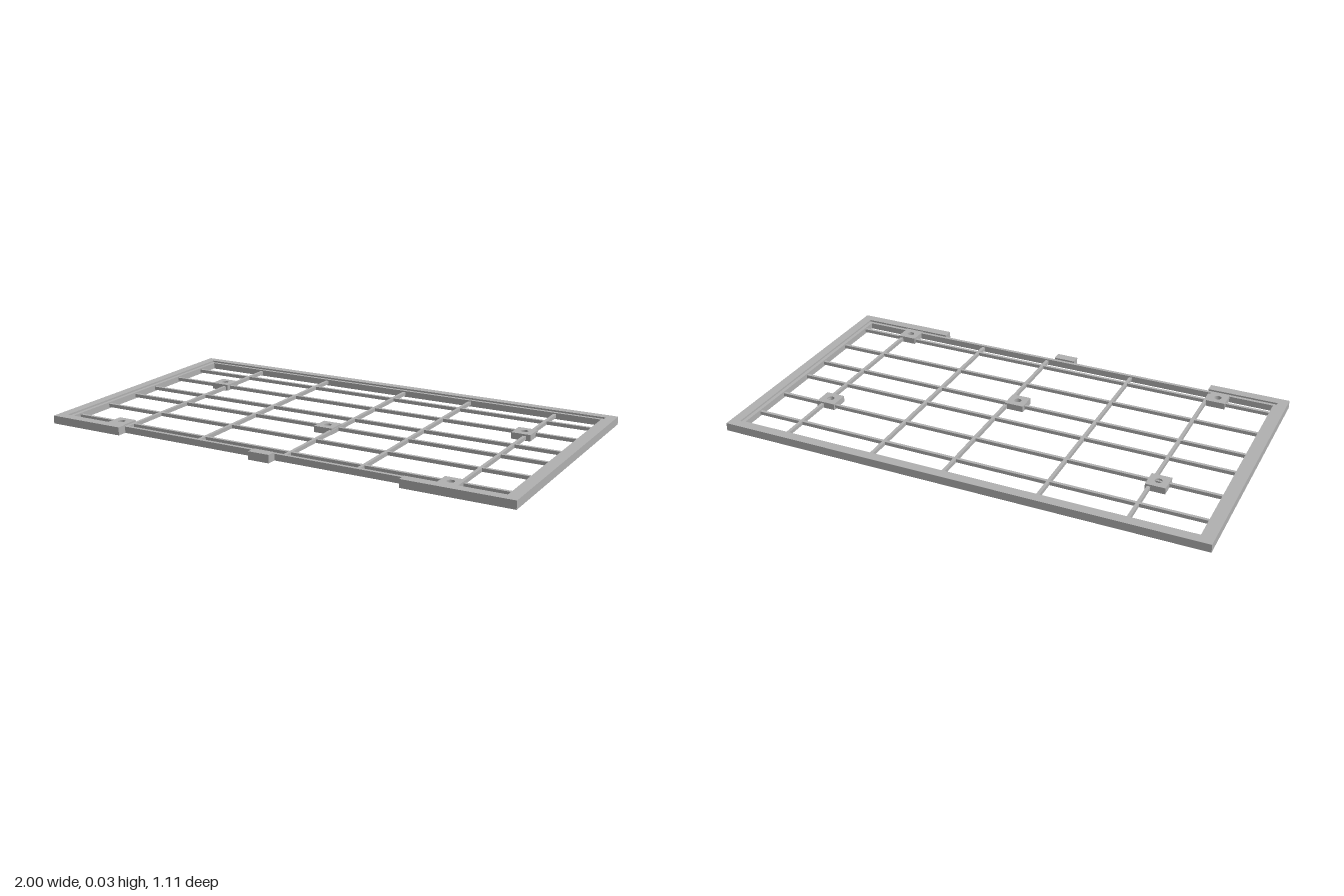
import * as THREE from 'three';

export function createModel() {
  const model = new THREE.Group();
  const grey = new THREE.MeshStandardMaterial({ color: 0xb0b0b0 });
  grey.name = 'grey';

  // Axis-aligned block from its lower and upper limits
  function block(name, x0, x1, y0, y1, z0, z1) {
    const mesh = new THREE.Mesh(new THREE.BoxGeometry(x1 - x0, y1 - y0, z1 - z0), grey);
    mesh.position.set((x0 + x1) / 2, (y0 + y1) / 2, (z0 + z1) / 2);
    mesh.name = name;
    model.add(mesh);
  }

  // Flat outline extruded upwards from y0 to y1 (shape y becomes -z)
  function plate(name, shape, y0, y1) {
    const geometry = new THREE.ExtrudeGeometry(shape, { depth: y1 - y0, bevelEnabled: false, curveSegments: 12 });
    geometry.rotateX(-Math.PI / 2);
    const mesh = new THREE.Mesh(geometry, grey);
    mesh.position.y = y0;
    mesh.name = name;
    model.add(mesh);
    return mesh;
  }

  const corners = (x, back, front) => [[-x, -front], [x, -front], [x, back], [-x, back]]
    .map(([a, b]) => new THREE.Vector2(a, b));

  // Raised outer rim, open along most of the front
  const H = 0.033;
  const rim = new THREE.Shape([
    [-1, -0.555], [-0.667, -0.555], [-0.667, -0.515], [-0.96, -0.515],
    [-0.96, 0.518], [0.96, 0.518], [0.96, -0.515], [0.565, -0.515],
    [0.565, -0.555], [1, -0.555], [1, 0.555], [-1, 0.555],
  ].map(([x, y]) => new THREE.Vector2(x, y)));
  plate('outerRim', rim, 0, H);
  block('frontTab', -0.06, 0.03, 0, H, 0.515, 0.555);

  // Lower ledge inside the rim
  const ledge = new THREE.Shape(corners(0.96, 0.518, 0.515));
  ledge.holes.push(new THREE.Path(corners(0.945, 0.503, 0.5)));
  plate('innerLedge', ledge, 0, 0.026);

  // Grid of thin bars
  const w = 0.0065;
  for (const x of [-0.677, -0.327, 0.06, 0.37, 0.75]) {
    block('crossBar', x - w, x + w, 0.006, 0.021, -0.503, 0.5);
  }
  for (const z of [-0.396, -0.225, -0.048, 0.09, 0.267, 0.449]) {
    block('longBar', -0.945, 0.945, 0.0065, 0.0205, z - w, z + w);
  }

  // Square mounting pads with a round hole
  const pad = new THREE.Shape(corners(0.04, 0.04, 0.04));
  pad.holes.push(new THREE.Path().absarc(0, 0, 0.015, 0, Math.PI * 2, true));
  for (const [x, z] of [[-0.702, -0.238], [0.735, -0.2], [0.023, 0.104], [-0.722, 0.468], [0.725, 0.475]]) {
    const mesh = plate('mountingPad', pad, 0.002, 0.028);
    mesh.position.x = x;
    mesh.position.z = z;
  }
  return model;
}
